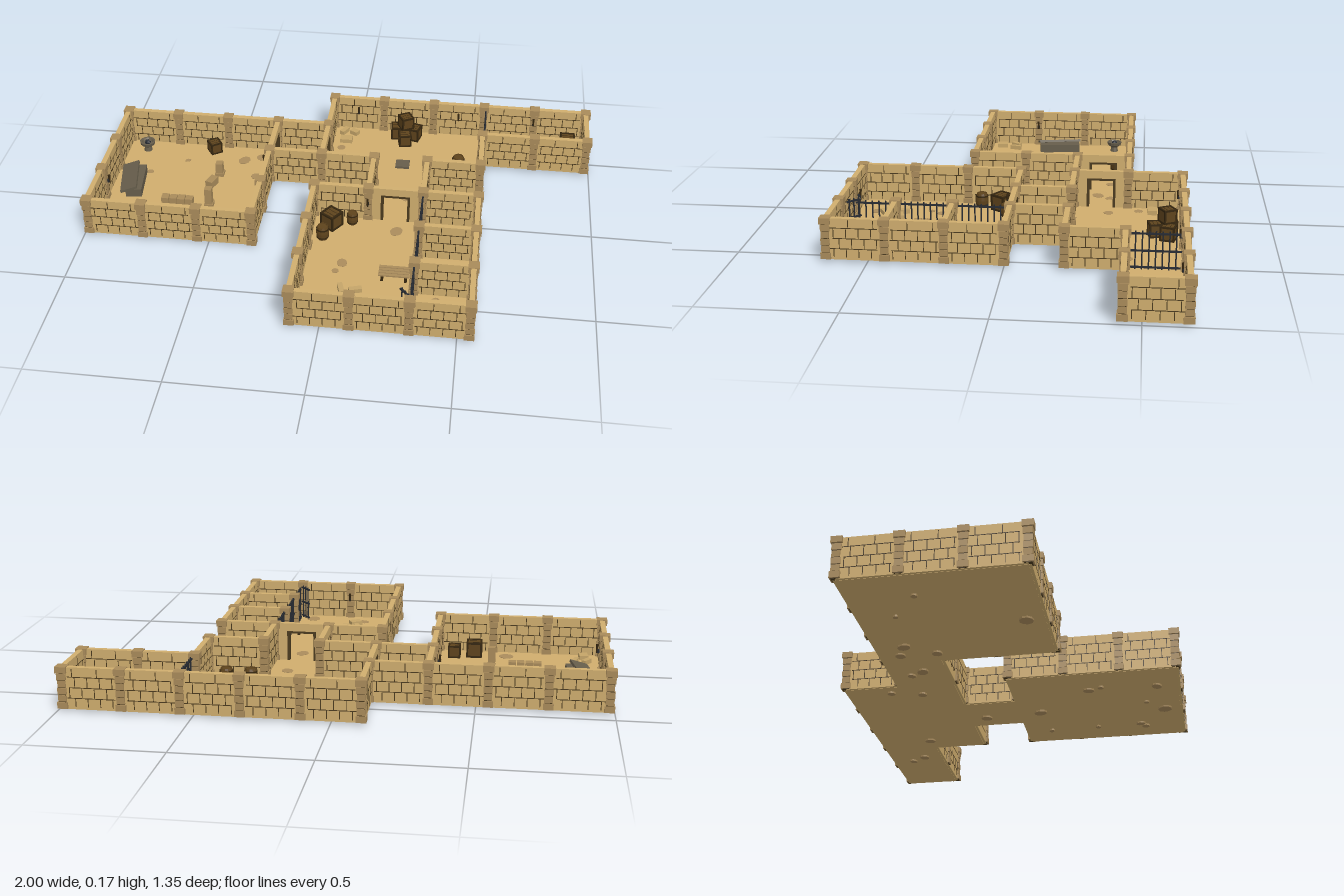
import * as THREE from 'three';
import { mergeGeometries } from 'three/addons/utils/BufferGeometryUtils.js';

const CELL = 0.2176, FLOOR = 0.014, TOP = 0.167;
const gx = i => (i - 4.5) * CELL, gz = j => j * CELL;
const mat = color => new THREE.MeshStandardMaterial({ color, flatShading: true });
const M = {
  wall: mat(0xcfad6e), pillar: mat(0xa88a5a), mortar: mat(0x4a3a1e), floor: mat(0xcfac6d), patch: mat(0xaa8c5c),
  wood: mat(0x5e431c), woodDark: mat(0x35260f), iron: mat(0x262a31), slab: mat(0x665d4b), rubble: mat(0xc4a468),
};

let seed = 7;
const rnd = () => (seed = (seed * 16807) % 2147483647) / 2147483647;

function mesh(parent, name, geo, m, x = 0, y = 0, z = 0, ry = 0) {
  const o = new THREE.Mesh(geo, m);
  o.name = name;
  o.position.set(x, y, z);
  o.rotation.y = ry;
  parent.add(o);
  return o;
}
function group(parent, name, x = 0, y = 0, z = 0, ry = 0) {
  const g = new THREE.Group();
  g.name = name;
  g.position.set(x, y, z);
  g.rotation.y = ry;
  parent.add(g);
  return g;
}
const box = (w, h, d, x = 0, y = 0, z = 0) => new THREE.BoxGeometry(w, h, d).translate(x, y, z);

// Brick wall, one cell long, running along local x
function wall(parent, x, z, ry) {
  const g = group(parent, 'wall', x, 0, z, ry);
  mesh(g, 'wallBody', box(CELL, TOP - 0.008, 0.02, 0, (TOP + 0.008) / 2), M.wall);
  const lines = [], rows = [0.015, 0.05, 0.09, 0.13, TOP - 0.003];
  for (let r = 1; r < 4; r++) lines.push(box(CELL * 0.82, 0.003, 0.0215, (rnd() - 0.5) * 0.02, rows[r]));
  for (let r = 0; r < 4; r++) {
    const n = r === 3 ? 2 : 4;
    for (let k = 0; k < n; k++) {
      const px = ((k + (r % 2 ? 0.75 : 0.3)) / n - 0.5) * CELL * 0.85;
      lines.push(box(0.003, rows[r + 1] - rows[r] - 0.004, 0.0215, px, (rows[r] + rows[r + 1]) / 2));
    }
  }
  mesh(g, 'mortarLines', mergeGeometries(lines), M.mortar);
}

// Wall with an open doorway
function doorway(parent, x, z, ry) {
  const g = group(parent, 'doorway', x, 0, z, ry);
  for (const s of [-1, 1]) {
    mesh(g, 'doorSide', box(0.055, TOP - 0.008, 0.02, s * 0.081, (TOP + 0.008) / 2), M.wall);
    mesh(g, 'doorJamb', box(0.01, 0.12, 0.025, s * 0.053, 0.073), M.mortar);
  }
  mesh(g, 'lintel', box(0.11, 0.035, 0.02, 0, TOP - 0.0175), M.wall);
  mesh(g, 'lintelTrim', box(0.116, 0.008, 0.025, 0, 0.131), M.mortar);
}

// Iron bars between two rails
function bars(parent, name, x, z, ry, width = CELL, count = 9) {
  const g = group(parent, name, x, 0, z, ry), parts = [];
  for (const y of [0.022, 0.085, 0.15]) parts.push(box(width, 0.006, 0.007, 0, y));
  for (let k = 0; k < count; k++)
    parts.push(new THREE.CylinderGeometry(0.003, 0.003, 0.148, 6).toNonIndexed().translate(((k + 0.5) / count - 0.5) * width, 0.086, 0));
  mesh(g, 'ironBars', mergeGeometries(parts.map(p => p.index ? p.toNonIndexed() : p)), M.iron);
}

// Stacked-stone pillar with wider foot and cap
function pillar(parent, i, j) {
  const g = group(parent, 'pillar', gx(i), 0, gz(j));
  const widths = [0.038, 0.031, 0.033, 0.03, 0.034, 0.041], h = 0.162 / widths.length;
  mesh(g, 'pillarCore', box(0.028, 0.158, 0.028, 0, 0.088), M.mortar);
  widths.forEach((w, k) => mesh(g, 'pillarStone', box(w, h - 0.003, w), M.pillar, 0, 0.009 + h * (k + 0.5), 0, k && k < 5 ? (rnd() - 0.5) * 0.12 : 0));
}

function crate(parent, x, z, s, ry = 0, y = FLOOR) {
  const g = group(parent, 'crate', x, y + s / 2, z, ry);
  mesh(g, 'crateBody', box(s * 0.9, s * 0.9, s * 0.9), M.wood);
  const frame = [], t = s * 0.12, e = (s - t) / 2;
  for (const a of [-e, e]) for (const b of [-e, e])
    frame.push(box(s, t, t, 0, a, b), box(t, s, t, a, 0, b), box(t, t, s, a, b, 0));
  for (const k of [-0.15, 0.15]) frame.push(box(s * 0.8, s * 0.92, t * 0.25, 0, 0, k * s));
  mesh(g, 'crateFrame', mergeGeometries(frame), M.woodDark);
}

function barrel(parent, x, z, r) {
  const g = group(parent, 'barrel', x, FLOOR, z), h = r * 2.3;
  const profile = [[0, 0], [0.78, 0], [0.95, 0.25], [1, 0.5], [0.95, 0.75], [0.78, 1], [0.7, 1], [0.7, 0.94], [0, 0.94]];
  mesh(g, 'barrelBody', new THREE.LatheGeometry(profile.map(p => new THREE.Vector2(p[0] * r, p[1] * h)), 12), M.wood);
  for (const t of [0.2, 0.8])
    mesh(g, 'barrelHoop', new THREE.CylinderGeometry(r * 0.97, r * 0.97, h * 0.1, 12), M.woodDark, 0, h * t);
}

function torch(parent, x, z, dx, dz) {
  const g = group(parent, 'torch', x + dx * 0.014, 0.1, z + dz * 0.014);
  mesh(g, 'torchBracket', box(0.008, 0.012, 0.012), M.iron);
  mesh(g, 'torchHandle', new THREE.CylinderGeometry(0.005, 0.003, 0.035, 6), M.woodDark, dx * 0.005, 0.01, dz * 0.005);
}

export function createModel() {
  const root = new THREE.Group();
  root.name = 'dungeon';

  // Floors: [i0, i1, j0, j1] in grid cells
  const rooms = [[0, 3, -2, 1], [3, 4, -2, -1], [4, 7, -3, -1], [7, 9, -3, -2], [5, 6, -1, 0], [4, 7, 0, 3]];
  for (const [a, b, c, d] of rooms)
    mesh(root, 'floor', box((b - a) * CELL, 0.007, (d - c) * CELL), M.floor, gx((a + b) / 2), FLOOR - 0.0035, gz((c + d) / 2));

  // Wall runs: [i0, j0, i1, j1]
  const runs = [
    [0, -2, 4, -2], [0, 1, 3, 1], [0, -2, 0, 1], [3, -1, 3, 1], [3, -1, 5, -1],
    [4, -3, 9, -3], [4, -3, 4, -2], [7, -2, 7, -1], [6, -1, 7, -1], [7, -2, 9, -2], [9, -3, 9, -2],
    [5, -1, 5, 0], [6, -1, 6, 0], [4, 0, 5, 0], [6, 0, 7, 0], [4, 3, 7, 3], [4, 0, 4, 3], [7, 0, 7, 3],
    [6, 1, 7, 1], [6, 2, 7, 2],
  ];
  const posts = new Set();
  for (const [a, b, c, d] of runs) {
    const n = Math.max(c - a, d - b), di = Math.sign(c - a), dj = Math.sign(d - b);
    for (let k = 0; k <= n; k++) {
      posts.add(`${a + di * k},${b + dj * k}`);
      if (k < n) wall(root, gx(a + di * (k + 0.5)), gz(b + dj * (k + 0.5)), dj ? Math.PI / 2 : 0);
    }
  }
  for (const p of posts) pillar(root, ...p.split(',').map(Number));

  // Doorways, gate and cell bars
  doorway(root, gx(3), gz(-1.5), Math.PI / 2);
  doorway(root, gx(4), gz(-1.5), Math.PI / 2);
  doorway(root, gx(5.5), gz(0), 0);
  bars(root, 'gate', gx(7) + 0.008, gz(-2.5), Math.PI / 2);
  for (const j of [0.5, 1.5]) bars(root, 'cellBars', gx(6), gz(j), Math.PI / 2);
  bars(root, 'cellBars', gx(6), gz(2.35), Math.PI / 2, CELL * 0.7, 6);
  bars(root, 'openCellDoor', gx(6) - 0.02, gz(2.76), -0.85, 0.06, 3);

  // Worn floor patches showing on both sides of the floor: [x, z, radius]
  const patches = [
    [-0.46, -0.33, 0.03], [-0.39, -0.36, 0.022], [-0.39, -0.22, 0.022], [-0.6, 0.15, 0.03], [-0.24, -0.31, 0.028], [-0.21, -0.36, 0.02],
    [-0.03, -0.36, 0.02], [-0.06, -0.48, 0.018], [0.46, -0.44, 0.025], [0.65, -0.51, 0.024], [0.69, -0.57, 0.02], [0.25, -0.15, 0.026],
    [0.23, 0.08, 0.03], [0.04, 0.3, 0.025], [0.02, 0.35, 0.014], [0.27, 0.59, 0.032], [0.04, 0.57, 0.026], [0.19, 0.52, 0.012],
    [0.42, 0.3, 0.015], [0.41, 0.48, 0.022], [0.44, 0.5, 0.018], [0.43, 0.1, 0.015], [-0.84, -0.2, 0.014], [-0.7, -0.3, 0.013],
  ];
  for (const [x, z, r] of patches) {
    const p = mesh(root, 'wornPatch', new THREE.CylinderGeometry(r, r * 0.9, 0.015, 9), M.patch, x, 0.0078, z, rnd() * 3);
    p.scale.z = 0.75 + rnd() * 0.3;
  }

  // Wooden containers
  crate(root, -0.6, -0.385, 0.05, 0.6);
  crate(root, -0.47, 0.145, 0.063);
  crate(root, -0.39, 0.125, 0.05);
  crate(root, 0.175, -0.6, 0.058, 0.1);
  crate(root, 0.245, -0.595, 0.058, -0.25);
  crate(root, 0.21, -0.545, 0.054, 0.2);
  crate(root, 0.21, -0.59, 0.055, 0.5, FLOOR + 0.058);
  crate(root, 0.91, -0.595, 0.062);
  crate(root, -0.03, 0.07, 0.066, -0.6);
  for (const [x, z, r] of [[0.36, -0.315, 0.027], [0.455, -0.32, 0.027], [0.45, -0.385, 0.027], [0.91, -0.5, 0.024], [0.05, 0.045, 0.023], [-0.055, 0.155, 0.026]])
    barrel(root, x, z, r);

  // Stone coffin with its lid pushed aside
  const coffin = group(root, 'coffin', -0.885, FLOOR, -0.105, 0.12);
  mesh(coffin, 'coffinBase', box(0.065, 0.035, 0.18, 0.01, 0.0175), M.slab);
  const lid = mesh(coffin, 'coffinLid', box(0.07, 0.01, 0.19), M.slab, -0.015, 0.038, 0, 0.07);
  lid.rotation.z = 0.3;

  // Round basin
  const basin = group(root, 'basin', -0.89, FLOOR, -0.36);
  const rim = [[0.018, 0], [0.014, 0.02], [0.03, 0.032], [0.033, 0.045], [0.025, 0.045], [0.02, 0.036], [0, 0.034]];
  mesh(basin, 'basinBowl', new THREE.LatheGeometry(rim.map(p => new THREE.Vector2(...p)), 12), M.slab);
  mesh(basin, 'basinCoals', new THREE.IcosahedronGeometry(0.014, 0), M.iron, 0, 0.038);

  // Broken columns
  for (const [z, h] of [[-0.2176, 0.06], [0, 0.085]]) {
    mesh(root, 'columnFoot', box(0.037, 0.014, 0.037), M.pillar, gx(2), FLOOR + 0.007, z);
    mesh(root, 'columnStump', box(0.029, h, 0.029), M.pillar, gx(2), FLOOR + h / 2, z);
  }
  for (let k = 0; k < 4; k++)
    mesh(root, 'fallenColumn', box(0.03, 0.03, k % 2 ? 0.03 : 0.034), M.pillar, -0.725 + k * 0.033, FLOOR + 0.015, 0);
  mesh(root, 'fallenBlock', box(0.032, 0.03, 0.052), M.pillar, -0.562, FLOOR + 0.015, -0.14, -0.35);

  // Loose bricks: [x, z, width, depth, turn]
  const bricks = [
    [-0.92, 0.1, 0.02, 0.045, -0.6], [-0.875, 0.1, 0.016, 0.05, -0.3], [-0.91, 0.165, 0.035, 0.045, 0.1],
    [-0.06, -0.6, 0.02, 0.045, -0.5], [-0.015, -0.595, 0.035, 0.025, -0.5], [-0.045, -0.535, 0.052, 0.036, 0],
    [0.055, 0.46, 0.02, 0.05, 0.3], [0.11, 0.46, 0.05, 0.02, 0.3], [0.07, 0.525, 0.05, 0.036, 0.5],
  ];
  for (const [x, z, w, d, t] of bricks) mesh(root, 'looseBrick', box(w, 0.018, d), M.rubble, x, FLOOR + 0.009, z, t);

  // Trapdoor and slatted bench
  mesh(root, 'trapdoor', box(0.058, 0.01, 0.052), M.slab, 0.215, FLOOR + 0.005, -0.38);
  const bench = group(root, 'bench', 0.247, FLOOR, 0.36);
  for (let k = 0; k < 4; k++) mesh(bench, 'benchSlat', box(0.118, 0.006, 0.0125), M.pillar, 0, 0.028, (k - 1.5) * 0.016);
  for (const s of [-1, 1]) mesh(bench, 'benchLeg', box(0.01, 0.025, 0.055), M.woodDark, s * 0.045, 0.0125);

  // Wall torches
  for (const x of [-0.002, 0.435, 0.76]) torch(root, x, gz(-3), 0, 1);
  torch(root, gx(0) + 0.008, 0, 1, 0);
  torch(root, gx(3) - 0.008, -0.2176, -1, 0);
  torch(root, gx(5), 0.014, 0, 1);
  torch(root, gx(5), gz(3) - 0.014, 0, -1);
  return root;
}
